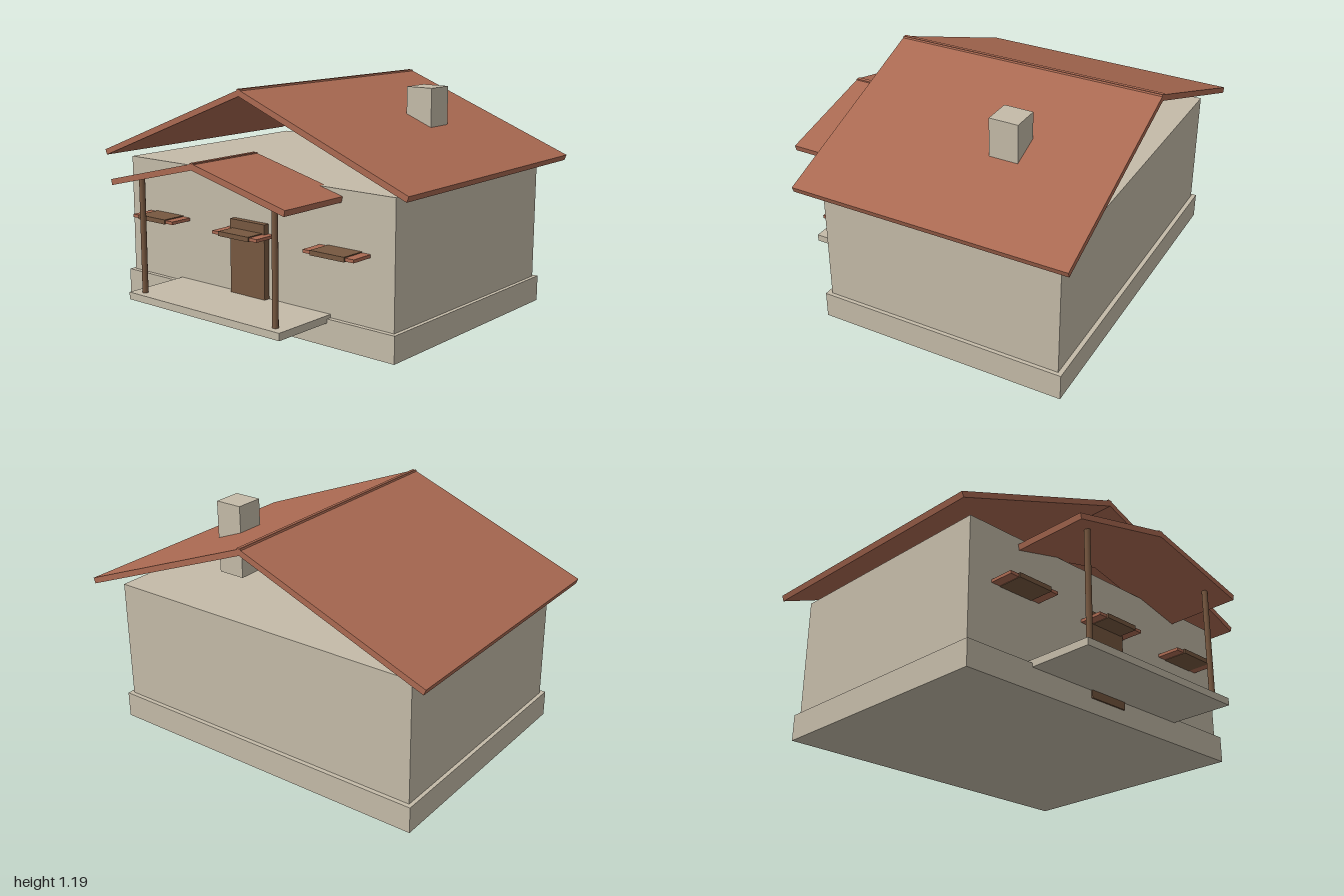
import * as THREE from 'three';

const plaster = new THREE.MeshStandardMaterial({ name: 'plaster', color: 0xc4bba8 });
const tile = new THREE.MeshStandardMaterial({ name: 'terracotta', color: 0xab6a52 });
const wood = new THREE.MeshStandardMaterial({ name: 'wood', color: 0x775840 });

// Box given by its extents along each axis
function box(name, material, [x0, x1], [y0, y1], [z0, z1]) {
  const mesh = new THREE.Mesh(new THREE.BoxGeometry(x1 - x0, y1 - y0, z1 - z0), material);
  mesh.position.set((x0 + x1) / 2, (y0 + y1) / 2, (z0 + z1) / 2);
  mesh.name = name;
  return mesh;
}

// Two tilted slabs that cross slightly at the ridge
function gableRoof(name, halfWidth, ridgeY, eaveY, [z0, z1]) {
  const roof = new THREE.Group();
  roof.name = name;
  const overlap = 0.015, thickness = 0.03;
  const run = halfWidth + overlap, drop = ridgeY - eaveY;
  const geometry = new THREE.BoxGeometry(Math.hypot(run, drop), thickness, z1 - z0);
  for (const side of [-1, 1]) {
    const slab = new THREE.Mesh(geometry, tile);
    slab.name = side > 0 ? 'leftSlope' : 'rightSlope';
    slab.position.set(side * (halfWidth - overlap) / 2, (ridgeY + eaveY) / 2, (z0 + z1) / 2);
    slab.rotation.z = -side * Math.atan2(drop, run);
    roof.add(slab);
  }
  return roof;
}

export function createModel() {
  const house = new THREE.Group();
  house.name = 'house';

  // Masonry
  house.add(
    box('foundation', plaster, [-0.895, 0.895], [0.005, 0.14], [-0.81, 0.5]),
    box('walls', plaster, [-0.875, 0.875], [0.14, 0.767], [-0.787, 0.475]),
    box('chimney', plaster, [0.41, 0.56], [0.785, 1.17], [-0.405, -0.255]),
    box('porchDeck', plaster, [-0.505, 0.505], [0.12, 0.157], [0.46, 0.84]),
    box('door', wood, [-0.115, 0.115], [0.08, 0.537], [0.46, 0.508])
  );

  // Roofs
  house.add(
    gableRoof('mainRoof', 0.994, 1.18, 0.787, [-0.875, 0.557]),
    gableRoof('porchRoof', 0.571, 0.862, 0.719, [0.44, 0.875])
  );

  // Porch posts
  const postGeometry = new THREE.CylinderGeometry(0.015, 0.015, 0.585, 16);
  for (const side of [-1, 1]) {
    const post = new THREE.Mesh(postGeometry, wood);
    post.name = side > 0 ? 'leftPost' : 'rightPost';
    post.position.set(side * 0.44, 0.445, 0.791);
    house.add(post);
  }

  // Flat ledges across the front, each with a wooden panel in the middle
  for (const x of [-0.588, 0, 0.588]) {
    const ledge = new THREE.Group();
    ledge.name = 'ledge';
    ledge.position.x = x;
    ledge.add(
      box('ledgeSlab', tile, [-0.15, 0.15], [0.471, 0.487], [0.46, 0.6]),
      box('ledgePanel', wood, [-0.1, 0.1], [0.468, 0.492], [0.46, 0.608])
    );
    house.add(ledge);
  }

  return house;
}
